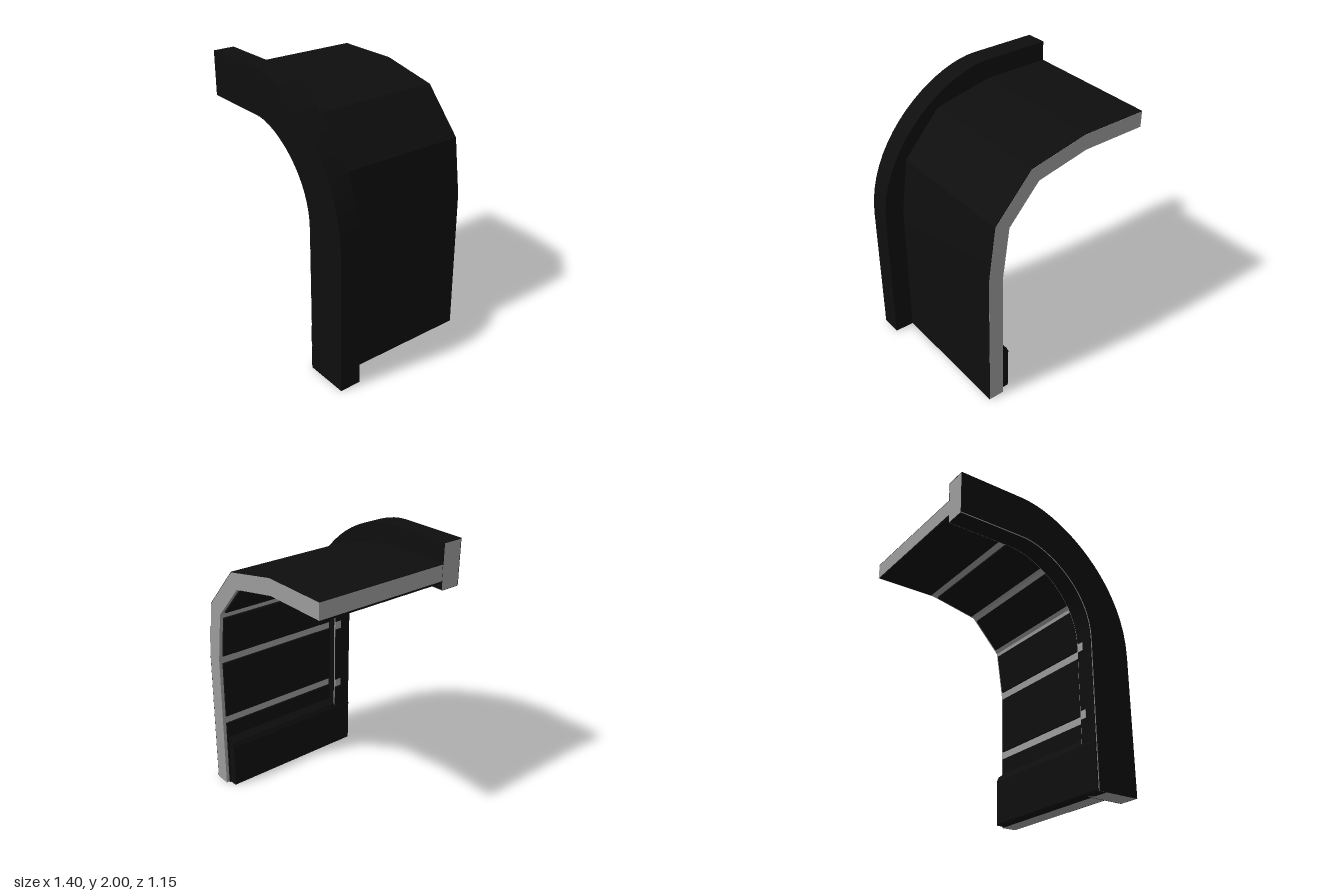
import * as THREE from 'three';
import { toCreasedNormals } from 'three/addons/utils/BufferGeometryUtils.js';

const V = (x, y) => new THREE.Vector2(x, y);

// Move an open path sideways (to its left) by d, with mitred corners
function offsetPath(path, d) {
  const normal = i => {
    const t = path[i + 1].clone().sub(path[i]).normalize();
    return V(-t.y, t.x);
  };
  return path.map((p, i) => {
    const a = normal(Math.max(i - 1, 0));
    const b = normal(Math.min(i, path.length - 2));
    const m = a.clone().add(b).normalize();
    return p.clone().addScaledVector(m, d / m.dot(a));
  });
}

// Straight leg, sweeping bend and flat top, from the floor to the free end
function bentPath(x, y, bendY, handle) {
  const bend = new THREE.CubicBezierCurve(
    V(x, bendY), V(x, bendY + (y - bendY) * handle),
    V(x - (x + 0.2) * handle, y), V(-0.2, y));
  return [V(x, 0), ...bend.getPoints(18), V(-0.7, y)];
}

export function createModel() {
  const group = new THREE.Group();
  const black = new THREE.MeshStandardMaterial({ name: 'black', color: 0x0e0e0e });
  const grey = new THREE.MeshStandardMaterial({ name: 'grey', color: 0x9c9c9c });

  // Flat outline pulled from z0 to z1
  function slab(name, outline, z0, z1, material) {
    let geo = new THREE.ExtrudeGeometry(new THREE.Shape(outline), { depth: z1 - z0, bevelEnabled: false });
    geo.translate(0, 0, z0);
    geo = toCreasedNormals(geo, 0.2);
    const mesh = new THREE.Mesh(geo, material);
    mesh.name = name;
    group.add(mesh);
  }
  const between = (a, b) => [...a, ...b.slice().reverse()];

  // Faceted shell: grey core with a thin black outer skin
  const shell = [V(0.555, 0), V(0.555, 0.55), V(0.555, 1.05), V(0.5, 1.46),
    V(0.222, 1.77), V(-0.21, 1.86), V(-0.7, 1.86)];
  const skinInside = offsetPath(shell, 0.004);
  const shellInside = offsetPath(shell, 0.117);
  slab('shellSkin', between(shell, skinInside), -0.574, 0.43, black);
  slab('shellCore', between(skinInside, shellInside), -0.575, 0.43, grey);

  // Black lining panels, one per facet, with grey gaps between them
  const panelFace = offsetPath(shell, 0.13);
  const last = shell.length - 2;
  for (let i = 0; i <= last; i++) {
    const cut = (path, end) => {
      const a = path[i], b = path[i + 1];
      const gap = 0.03 / a.distanceTo(b);
      return a.clone().lerp(b, end ? (i === last ? 1 : 1 - gap) : (i === 0 ? 0 : gap));
    };
    slab('liningPanel', [cut(shellInside, 0), cut(shellInside, 1), cut(panelFace, 1), cut(panelFace, 0)],
      -0.55, 0.425, black);
  }

  // Front arch: grey core with black front, back, outer and inner covers
  const outer = bentPath(0.7, 2, 1.02, 0.61);
  const outerCore = offsetPath(outer, 0.005);
  const inner = bentPath(0.38, 1.685, 1.08, 0.61);
  const innerCore = offsetPath(inner, 0.006);
  const innerFace = offsetPath(inner, 0.009);
  slab('archCore', between(outerCore, innerCore), 0.426, 0.571, grey);
  slab('archOuterCover', between(outer, outerCore), 0.42, 0.575, black);
  slab('archFrontCover', between(outerCore, inner), 0.571, 0.575, black);
  slab('archBackCover', between(outerCore, inner), 0.42, 0.426, black);
  slab('archInnerCover', between(innerCore, innerFace), 0.432, 0.569, black);

  // Grey joints on the inner face of the arch
  for (const y of [0.55, 1.05]) {
    slab('archJoint', [V(0.373, y - 0.03), V(0.373, y + 0.03), V(0.369, y + 0.03), V(0.369, y - 0.03)],
      0.432, 0.485, grey);
  }

  // Skirting along the foot of the wall, chamfered at the top
  slab('skirting', [V(0.44, 0), V(0.44, 0.4), V(0.425, 0.4), V(0.38, 0.365), V(0.365, 0.33), V(0.365, 0.01), V(0.372, 0)],
    -0.54, 0.568, black);

  return group;
}
